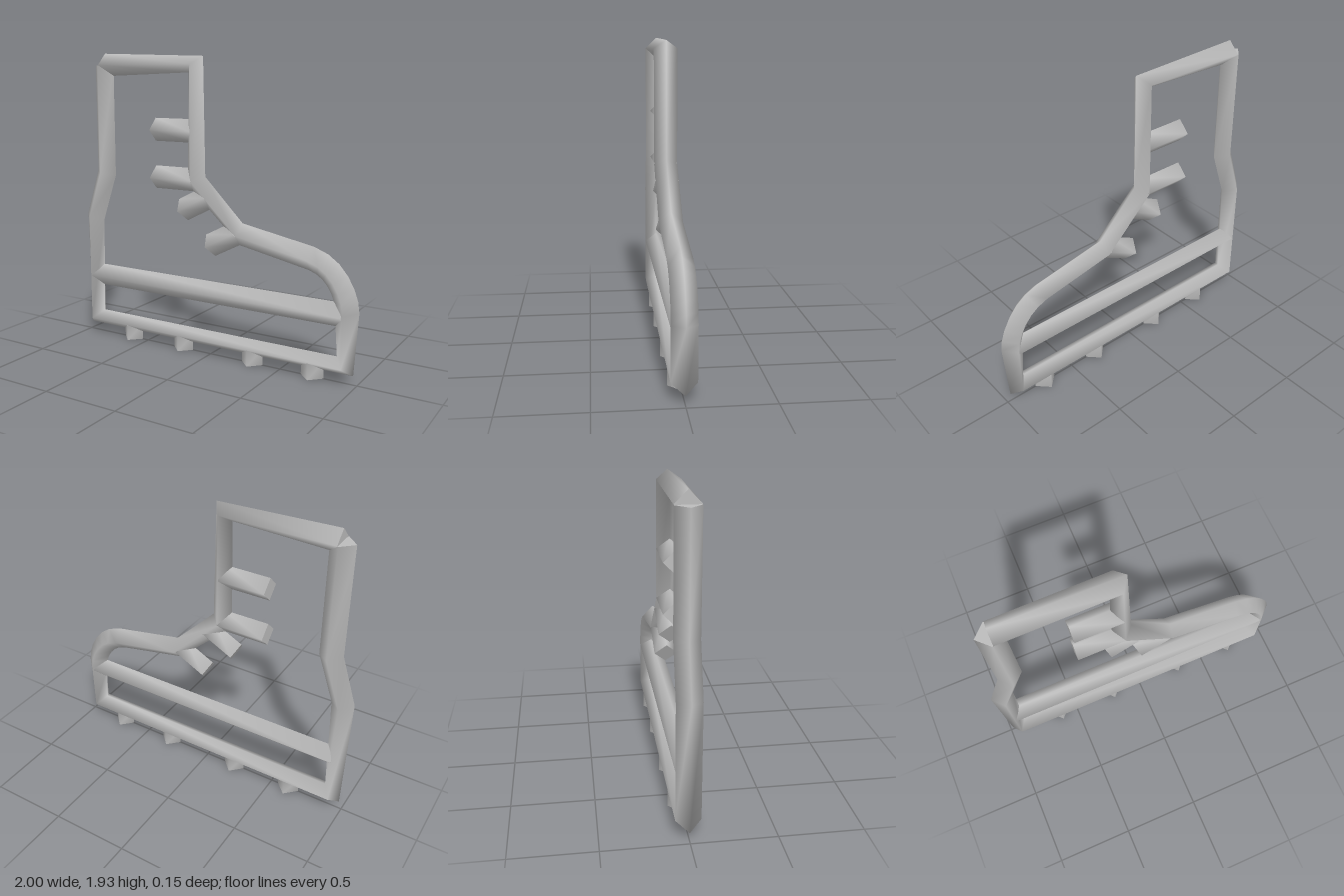
import * as THREE from 'three';

const HALF = 0.074; // half depth of every diamond-section bar

// Sweep a diamond section through [outerX, outerY, innerX, innerY] stations,
// with the outer side on the right of travel; smooth sides, flat end caps.
function diamondBar(stations, material, name) {
  const pos = [], index = [];
  const rings = stations.map(([ox, oy, ix, iy]) => {
    const mx = (ox + ix) / 2, my = (oy + iy) / 2;
    return [[ox, oy, 0], [mx, my, -HALF], [ix, iy, 0], [mx, my, HALF]];
  });
  rings.forEach((ring) => ring.forEach((p) => pos.push(...p)));
  for (let s = 0; s < rings.length - 1; s++) {
    for (let i = 0; i < 4; i++) {
      const a = s * 4 + i, b = s * 4 + (i + 1) % 4;
      index.push(a, b, b + 4, a, b + 4, a + 4);
    }
  }
  // end caps on their own vertices
  const cap = (ring) => {
    const n = pos.length / 3;
    ring.forEach((p) => pos.push(...p));
    index.push(n, n + 1, n + 2, n, n + 2, n + 3);
  };
  cap([...rings[0]].reverse());
  cap(rings[rings.length - 1]);

  const geometry = new THREE.BufferGeometry();
  geometry.setAttribute('position', new THREE.Float32BufferAttribute(pos, 3));
  geometry.setIndex(index);
  geometry.computeVertexNormals();
  const mesh = new THREE.Mesh(geometry, material);
  mesh.name = name;
  return mesh;
}

// Straight bar between two points of the drawing plane
function straightBar(x0, y0, x1, y1, material, name) {
  const len = Math.hypot(x1 - x0, y1 - y0);
  const rx = (y1 - y0) / len * HALF, ry = -(x1 - x0) / len * HALF;
  const station = (x, y) => [x + rx, y + ry, x - rx, y - ry];
  return diamondBar([station(x0, y0), station(x1, y1)], material, name);
}

export function createModel() {
  const model = new THREE.Group();
  model.name = 'bootOutline';
  const grey = new THREE.MeshStandardMaterial({ color: 0xbcbcbc });
  grey.name = 'plain grey';

  // Boot contour: down the heel, along the sole, round the toe, up the shaft
  const toe = [
    [1.0, 0.44, 0.85, 0.42], [0.99, 0.51, 0.843, 0.48], [0.965, 0.58, 0.825, 0.53],
    [0.925, 0.65, 0.797, 0.575], [0.87, 0.715, 0.765, 0.61], [0.80, 0.765, 0.73, 0.635],
    [0.71, 0.80, 0.68, 0.655],
  ];
  model.add(diamondBar([
    [-0.9, 1.85, -0.75, 1.85],
    [-0.9, 1.15, -0.75, 1.12],
    [-1.0, 0.84, -0.857, 0.81],
    [-0.98, 0.055, -0.875, 0.157],
    [0.975, 0.055, 0.87, 0.157],
    ...toe,
    [0.23, 0.89, 0.21, 0.75],
    [-0.04, 1.16, -0.17, 1.1],
    [-0.055, 1.905, -0.16, 1.805],
    [-0.82, 1.926, -0.82, 1.779],
  ], grey, 'contour'));

  // Top edge of the sole
  model.add(straightBar(-0.92, 0.415, 0.915, 0.415, grey, 'soleBar'));

  // Lace bars
  const laces = [
    [-0.415, 1.443, -0.11, 1.443], [-0.415, 1.135, -0.1, 1.135],
    [-0.205, 0.935, -0.005, 1.038], [0, 0.725, 0.2, 0.828],
  ];
  laces.forEach((l, i) => model.add(straightBar(...l, grey, `lace${i + 1}`)));

  // Studs under the sole
  [-0.62, -0.21, 0.305, 0.715].forEach((x, i) =>
    model.add(straightBar(x, 0, x, 0.105, grey, `stud${i + 1}`)));

  return model;
}
